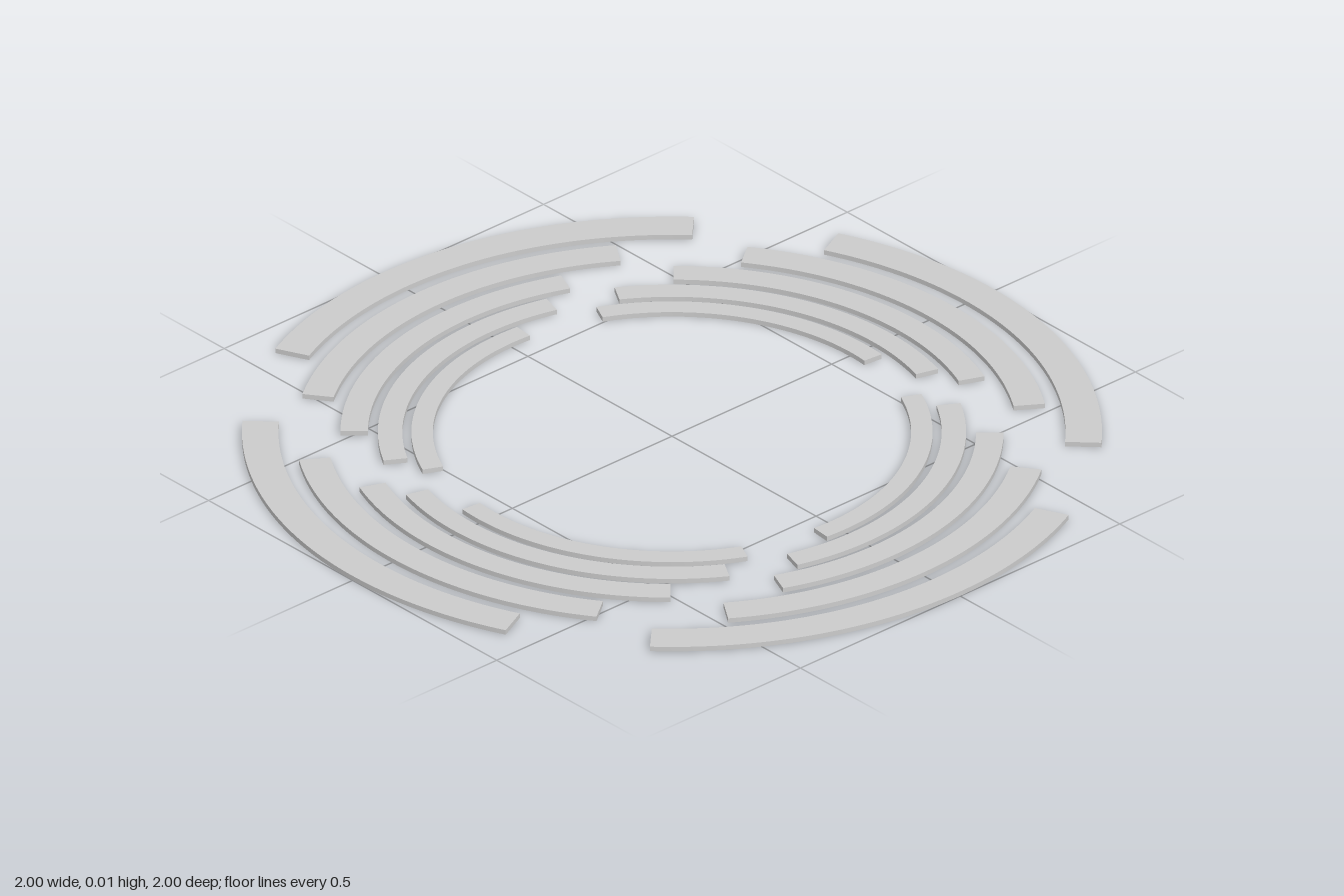
import * as THREE from 'three';
import { toCreasedNormals } from 'three/addons/utils/BufferGeometryUtils.js';

const THICKNESS = 0.012;

// Flat curved bar lying on the ground, between two radii and two angles (degrees)
function arcBar(inner, outer, startDeg, endDeg) {
  const a = THREE.MathUtils.degToRad(startDeg);
  const b = THREE.MathUtils.degToRad(endDeg);
  const shape = new THREE.Shape();
  shape.absarc(0, 0, outer, a, b, false);
  shape.absarc(0, 0, inner, b, a, true);
  shape.closePath();
  const geometry = new THREE.ExtrudeGeometry(shape, {
    depth: THICKNESS, bevelEnabled: false, curveSegments: 32,
  });
  geometry.rotateX(-Math.PI / 2);
  return toCreasedNormals(geometry, Math.PI / 6);
}

export function createModel() {
  const model = new THREE.Group();
  model.name = 'segmentedRings';
  const material = new THREE.MeshStandardMaterial({ color: 0xcccccc });

  // Rings from outside in: inner radius, outer radius, start and end angle
  const rings = [
    [0.915, 1.0, 45, 115.2],
    [0.803, 0.877, 56.5, 126.4],
    [0.707, 0.771, 67.5, 137.7],
    [0.627, 0.684, 73.2, 149.2],
    [0.556, 0.606, 84.4, 154.8],
  ];

  rings.forEach(([inner, outer, start, end], i) => {
    const ring = new THREE.Group();
    ring.name = `ring${i + 1}`;
    const geometry = arcBar(inner, outer, start, end);
    // Four identical bars, a quarter turn apart
    for (let q = 0; q < 4; q++) {
      const bar = new THREE.Mesh(geometry, material);
      bar.name = `arcBar${q + 1}`;
      bar.rotation.y = q * Math.PI / 2;
      ring.add(bar);
    }
    model.add(ring);
  });

  return model;
}
